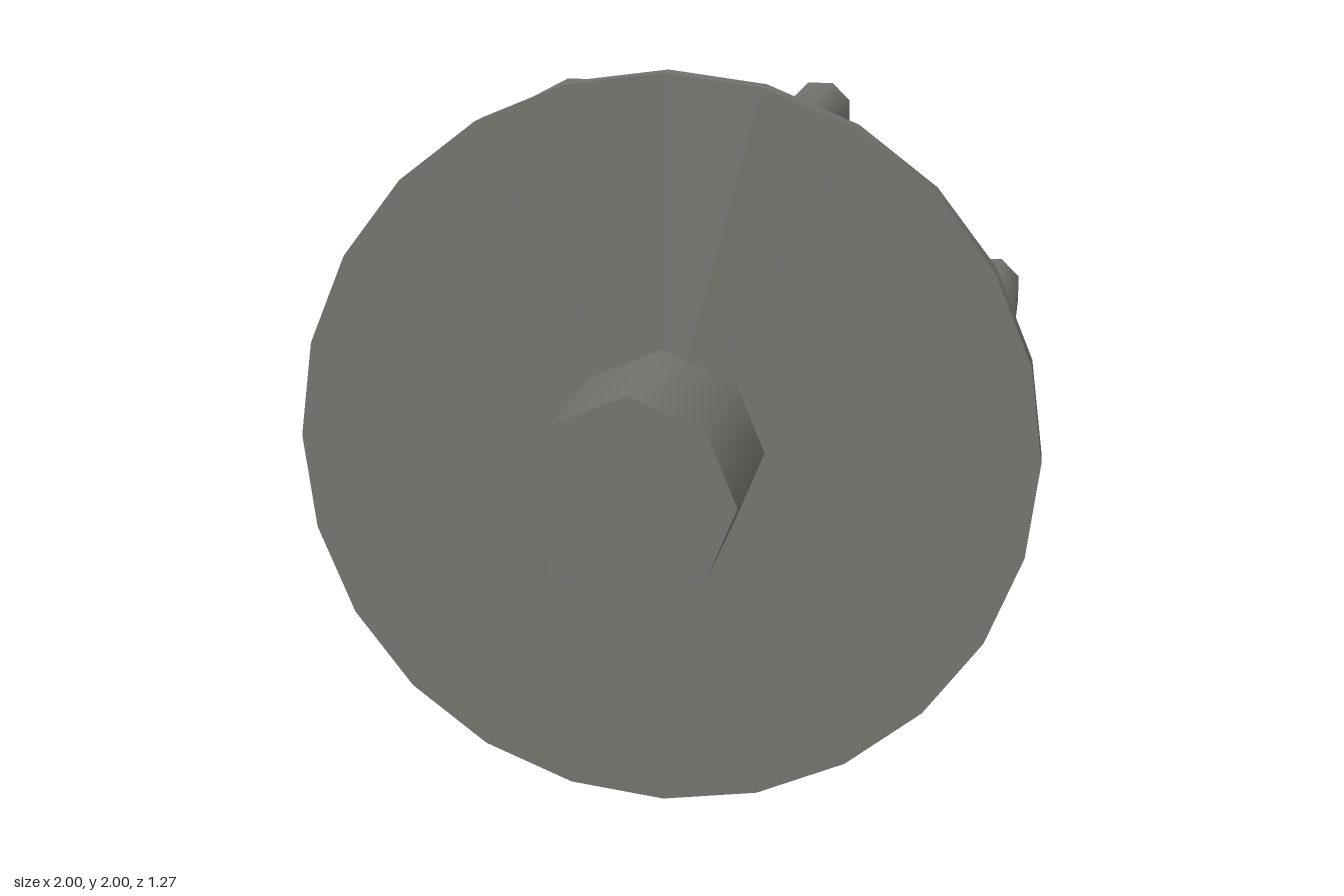
import * as THREE from 'three';

const metal = new THREE.MeshStandardMaterial({ color: 0x73736e });
metal.name = 'warm grey';

// Cylinder lying along z between two depths
function zCylinder(name, radius, sides, zBack, zFront, spin = 0) {
  const geometry = new THREE.CylinderGeometry(radius, radius, zFront - zBack, sides);
  geometry.rotateX(Math.PI / 2);
  geometry.rotateZ(spin);
  const mesh = new THREE.Mesh(geometry, metal);
  mesh.name = name;
  mesh.position.z = (zBack + zFront) / 2;
  return mesh;
}

export function createModel() {
  const knob = new THREE.Group();
  knob.name = 'knob';
  const unit = 1 / 11;
  const gripBack = -6 * unit;

  // Flange, grip body and stem
  knob.add(zCylinder('flange', 1, 24, 0, unit));
  knob.add(zCylinder('gripBody', 10 * unit, 24, gripBack, 0));
  knob.add(zCylinder('stem', 3 * unit, 8, unit, 7 * unit));

  // Eight finger ribs around the grip
  for (let i = 0; i < 8; i++) {
    const angle = Math.PI / 8 + (i * Math.PI) / 4;
    const rib = zCylinder('gripRib', 0.09, 8, gripBack, 0, Math.PI / 8);
    rib.position.x = 0.9 * Math.cos(angle);
    rib.position.y = 0.9 * Math.sin(angle);
    knob.add(rib);
  }

  // Shallow spherical cap on the back
  const sphereRadius = 41 * unit;
  const edgeAngle = Math.asin(9 / 41);
  const profile = [];
  for (let i = 0; i <= 3; i++) {
    const a = edgeAngle * (1 - i / 3);
    profile.push(new THREE.Vector2(
      sphereRadius * Math.sin(a),
      sphereRadius * (Math.cos(a) - Math.cos(edgeAngle))
    ));
  }
  const domeGeometry = new THREE.LatheGeometry(profile, 24);
  domeGeometry.rotateX(-Math.PI / 2);
  const dome = new THREE.Mesh(domeGeometry, metal);
  dome.name = 'domedCap';
  dome.position.z = gripBack;
  knob.add(dome);

  // Stand the flange on the ground
  knob.children.forEach((part) => { part.position.y += 1; });
  return knob;
}
